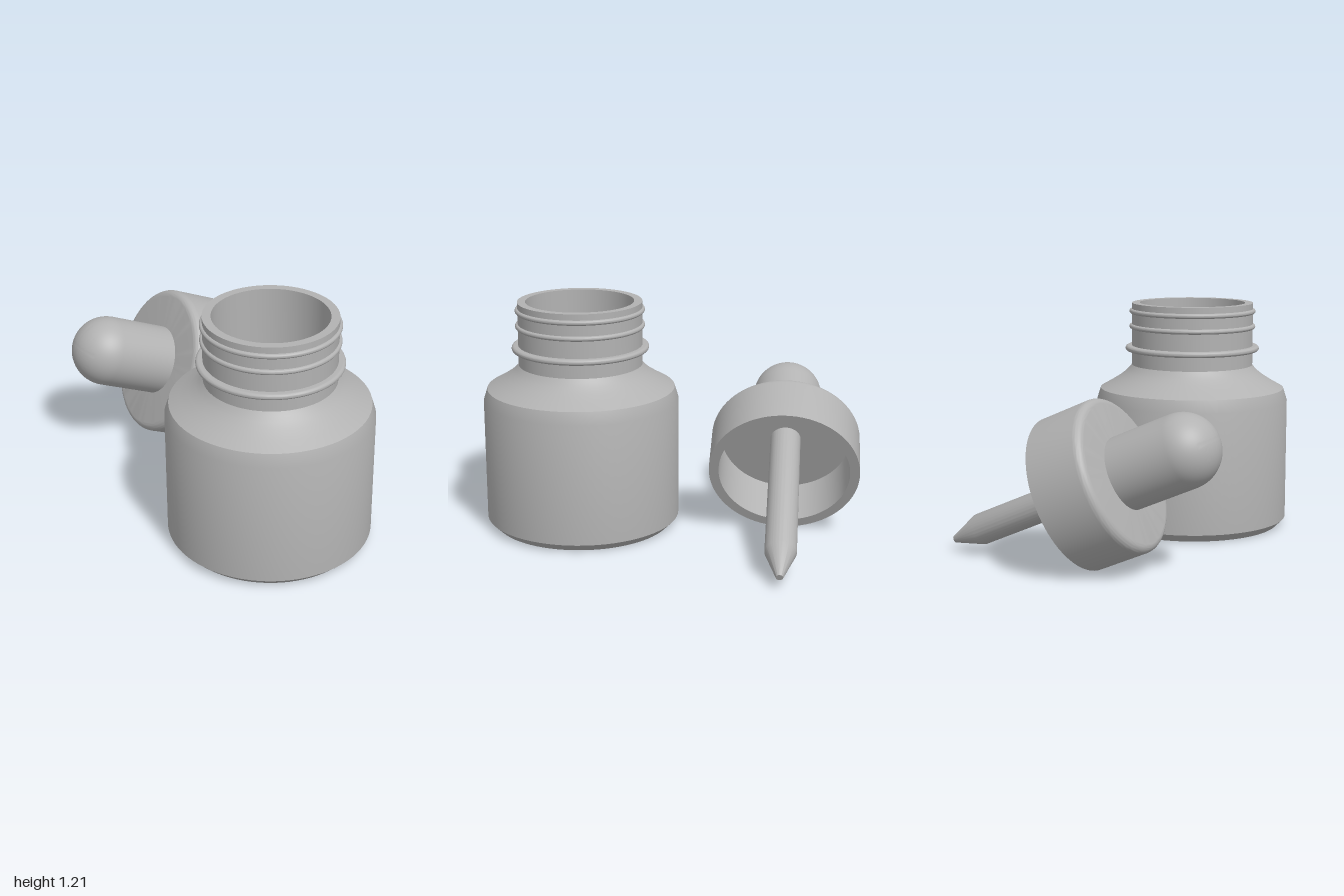
import * as THREE from 'three';
import { toCreasedNormals } from 'three/addons/utils/BufferGeometryUtils.js';

const grey = new THREE.MeshStandardMaterial({ color: 0xb2b2b2 });
grey.name = 'plainGrey';

// Turned part from [radius, height] points, with sharp edges kept
function turned(name, points) {
  const profile = points.map(([r, y]) => new THREE.Vector2(r, y));
  const mesh = new THREE.Mesh(toCreasedNormals(new THREE.LatheGeometry(profile, 80), 0.42), grey);
  mesh.name = name;
  return mesh;
}

// Points on an arc, angles in degrees
function arc(cx, cy, r, from, to, steps) {
  return Array.from({ length: steps + 1 }, (_, i) => {
    const a = THREE.MathUtils.degToRad(from + ((to - from) * i) / steps);
    return [Math.max(0, cx + r * Math.cos(a)), cy + r * Math.sin(a)];
  });
}

// Rounded bead that wraps the neck
function bead(name, y, outer, half) {
  return turned(name, [[0.318, y - half], ...arc(outer - half, y, half, -90, 90, 12), [0.318, y + half]]);
}

function createBottle() {
  const bottle = new THREE.Group();
  bottle.name = 'bottle';
  bottle.add(turned('bottleBody', [
    [0, 0], [0.475, 0], [0.5175, 0.042], [0.5175, 0.685], [0.497, 0.75],
    // Flared shoulder
    [0.445, 0.779], [0.395, 0.81], [0.362, 0.836], [0.341, 0.857], [0.3275, 0.875],
    [0.3275, 1.21], [0.285, 1.21],
    // Hollow inside
    [0.285, 0.86], [0.33, 0.8], [0.455, 0.72], [0.475, 0.67], [0.475, 0.06], [0.455, 0.042], [0, 0.042],
  ]));
  bottle.add(bead('upperThread', 1.165, 0.341, 0.013));
  bottle.add(bead('lowerThread', 1.083, 0.341, 0.013));
  bottle.add(bead('neckCollar', 0.965, 0.362, 0.015));
  bottle.position.set(-0.147, 0, 0.4825);
  return bottle;
}

// Dropper is built along y, with the open rim of the cap at the origin
function createDropper() {
  const dropper = new THREE.Group();
  dropper.name = 'dropper';
  dropper.add(turned('cap', [
    [0, 0.266], [0.342, 0.266], [0.342, 0], [0.393, 0],
    ...arc(0.353, 0.265, 0.04, 0, 90, 10), [0, 0.305],
  ]));
  dropper.add(turned('bulb', [[0.185, 0.29], ...arc(0, 0.626, 0.185, 0, 90, 24)]));
  dropper.add(turned('pipette', [
    [0, -0.74], [0.018, -0.74], [0.08, -0.573], [0.08, 0.27],
  ]));
  dropper.rotation.z = THREE.MathUtils.degToRad(66);
  dropper.position.set(0.037, 0.359, -0.607);
  return dropper;
}

export function createModel() {
  const model = new THREE.Group();
  model.name = 'dropperBottle';
  model.add(createBottle(), createDropper());
  return model;
}
